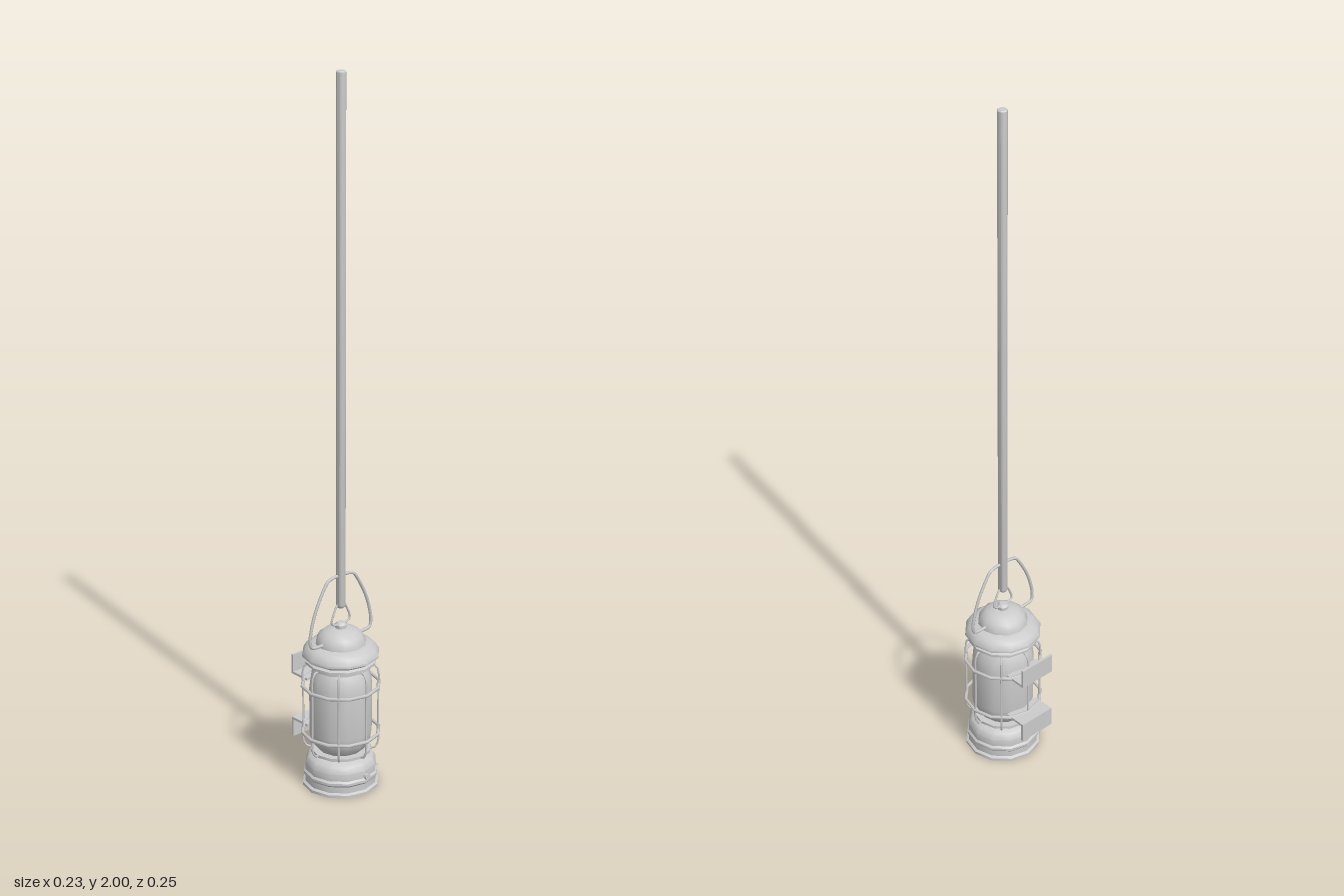
import * as THREE from 'three';
import { toCreasedNormals } from 'three/addons/utils/BufferGeometryUtils.js';

export function createModel() {
  const model = new THREE.Group();
  model.name = 'hangingLantern';
  const lantern = new THREE.Group();
  lantern.name = 'lantern';
  lantern.position.z = 0.014;
  model.add(lantern);

  const material = new THREE.MeshStandardMaterial({ color: 0xcccccc });
  const SIDES = 12;

  function add(name, geometry, x = 0, y = 0, z = 0) {
    const mesh = new THREE.Mesh(geometry, material);
    mesh.name = name;
    mesh.position.set(x, y, z);
    lantern.add(mesh);
    return mesh;
  }
  // Turned part from [radius, height] pairs, bottom to top
  function turned(name, profile, sides = SIDES) {
    const points = profile.map(([r, y]) => new THREE.Vector2(r, y));
    return add(name, toCreasedNormals(new THREE.LatheGeometry(points, sides), 0.65));
  }
  // Bent wire through [x, y] points
  function wire(name, points, radius, closed = false, segments = 48) {
    const curve = new THREE.CatmullRomCurve3(
      points.map(([x, y]) => new THREE.Vector3(x, y, 0)), closed, 'centripetal');
    return add(name, new THREE.TubeGeometry(curve, segments, radius, 6, closed));
  }

  // Fuel tank base with flange and collar
  turned('base', [
    [0, 0], [0.107, 0], [0.107, 0.008], [0.1, 0.012], [0.1, 0.03], [0.104, 0.035],
    [0.104, 0.042], [0.099, 0.047], [0.099, 0.068], [0.092, 0.083], [0.078, 0.092],
    [0.07, 0.094], [0.07, 0.1], [0.084, 0.1], [0.084, 0.108], [0, 0.108],
  ]);

  // Faceted glass globe
  turned('glass', [
    [0.062, 0.106], [0.072, 0.118], [0.084, 0.14], [0.088, 0.165], [0.088, 0.295],
    [0.084, 0.325], [0.074, 0.348], [0.064, 0.364],
  ]);

  // Cap: lower collar, wide hood and dome
  turned('cap', [
    [0, 0.356], [0.084, 0.356], [0.084, 0.364], [0.098, 0.368], [0.098, 0.375],
    [0.09, 0.379], [0.107, 0.39], [0.107, 0.396], [0.098, 0.412], [0.085, 0.421],
    [0.07, 0.424], [0.068, 0.434], [0.06, 0.449], [0.046, 0.46], [0.028, 0.466],
    [0.016, 0.468], [0.016, 0.477], [0.01, 0.484], [0, 0.486],
  ]);

  // Guard rings around the globe
  for (const y of [0.16, 0.3]) {
    const ring = new THREE.TorusGeometry(0.107, 0.005, 6, SIDES);
    ring.rotateX(Math.PI / 2);
    add('guardRing', ring, 0, y);
  }

  // Upright guard wires
  for (let i = 0; i < 8; i++) {
    wire('guardWire', [
      [0.08, 0.104], [0.096, 0.109], [0.103, 0.125], [0.103, 0.2],
      [0.103, 0.27], [0.103, 0.34], [0.096, 0.356], [0.08, 0.361],
    ], 0.003, false, 20).rotation.y = i * Math.PI / 4;
  }

  // Rear L-shaped mounting brackets, one turned up and one turned down
  for (const [y, dir] of [[0.3, 1], [0.16, -1]]) {
    add('bracketArm', new THREE.BoxGeometry(0.11, 0.007, 0.065), 0, y, -0.1095);
    add('bracketPlate', new THREE.BoxGeometry(0.11, 0.058, 0.007), 0, y + dir * 0.0255, -0.1385);
  }

  // Wick knob on the front of the base
  const stem = new THREE.CylinderGeometry(0.004, 0.004, 0.02, 8);
  stem.rotateX(Math.PI / 2);
  add('knobStem', stem, 0, 0.055, 0.1);
  const knob = new THREE.CylinderGeometry(0.009, 0.009, 0.007, 10);
  knob.rotateX(Math.PI / 2);
  add('wickKnob', knob, 0, 0.055, 0.109);

  // Carrying handle
  const side = [
    [0.055, 0.433], [0.09, 0.434], [0.106, 0.438], [0.111, 0.455], [0.105, 0.495],
    [0.088, 0.545], [0.06, 0.597], [0.047, 0.614], [0.03, 0.62],
  ];
  const mirrored = side.map(([x, y]) => [-x, y]).reverse();
  wire('handle', [...side, ...mirrored], 0.0045, false, 80);

  // Hanging loop between cap and rod
  wire('hangingLoop', [
    [0, 0.478], [0.025, 0.48], [0.033, 0.489], [0.026, 0.512], [0.012, 0.536], [0, 0.54],
    [-0.012, 0.536], [-0.026, 0.512], [-0.033, 0.489], [-0.025, 0.48],
  ], 0.003, true);

  // Long suspension rod
  turned('rod', [
    [0, 0.526], [0.009, 0.527], [0.0135, 0.534], [0.0135, 1.997], [0.011, 2], [0, 2],
  ]);

  return model;
}
